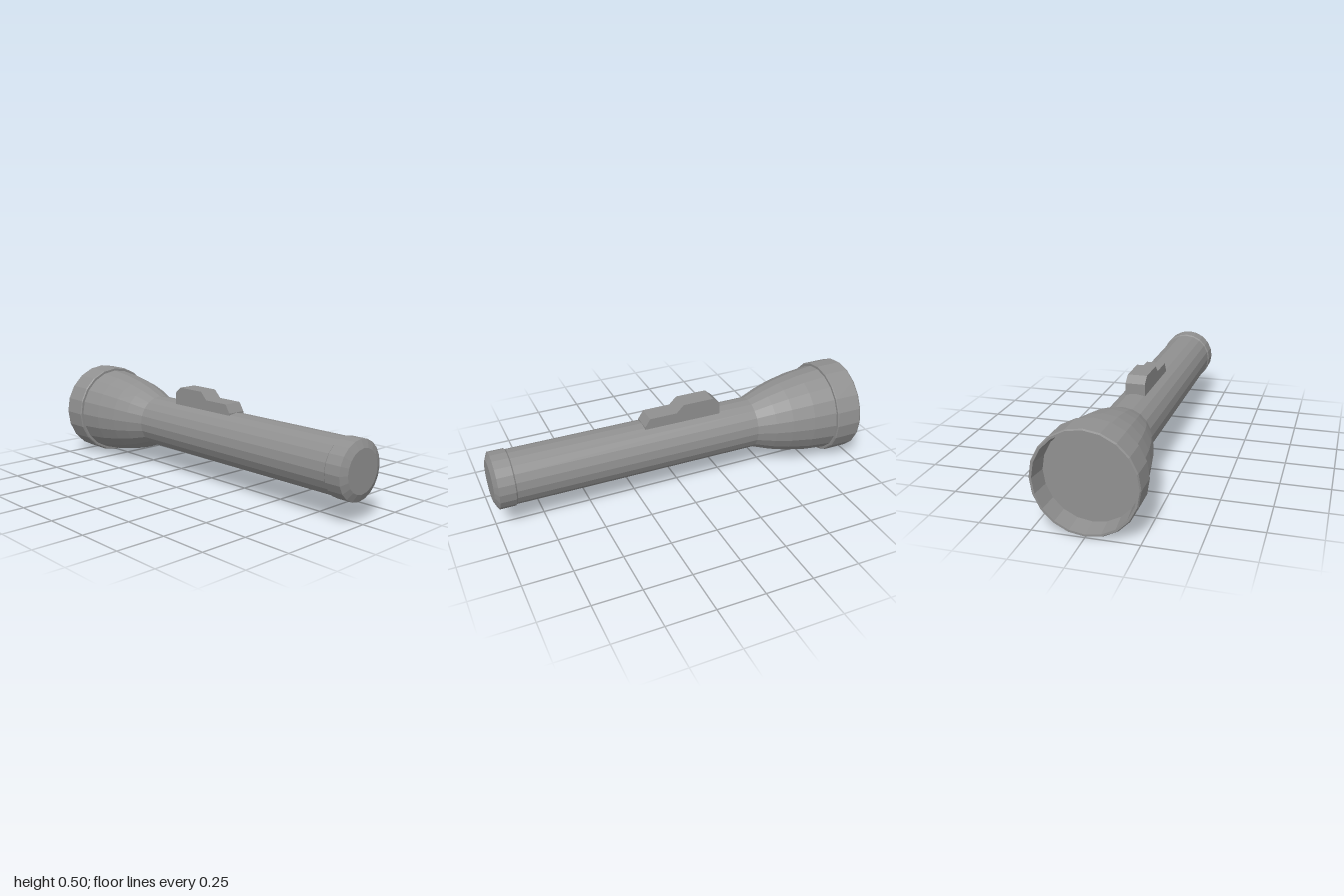
import * as THREE from 'three';

const SIDES = 20;
const AXIS_Y = 0.254;

export function createModel() {
  const model = new THREE.Group();
  model.name = 'flashlight';
  const material = new THREE.MeshStandardMaterial({ color: 0x909090, flatShading: true });

  // Turned part along the barrel axis; profile is [radius, z], running from tail to head
  function turned(name, profile) {
    const points = profile.map(([r, z]) => new THREE.Vector2(r, -z));
    const geometry = new THREE.LatheGeometry(points, SIDES);
    geometry.rotateX(-Math.PI / 2);
    const mesh = new THREE.Mesh(geometry, material);
    mesh.name = name;
    mesh.position.y = AXIS_Y;
    model.add(mesh);
  }

  // Tail cap with chamfered end and a small step down to the barrel
  turned('tailCap', [[0, 1], [0.107, 1], [0.146, 0.982], [0.146, 0.9], [0.139, 0.892]]);

  turned('barrel', [[0.14, 0.9], [0.139, -0.43]]);

  // Flared reflector housing
  turned('headFlare', [[0.139, -0.425], [0.174, -0.52], [0.199, -0.61], [0.222, -0.73], [0.235, -0.86]]);

  // Bezel ring with its recessed inner wall
  turned('bezel', [
    [0.23, -0.857], [0.247, -0.857], [0.252, -0.862], [0.252, -0.992],
    [0.247, -1], [0.237, -1], [0.226, -0.9],
  ]);

  turned('lens', [[0.227, -0.9], [0, -0.9]]);

  // Stepped switch: side outline in (-z, y), extruded across x
  const outline = [
    [-0.193, 0.36], [-0.193, 0.395], [-0.165, 0.439], [-0.018, 0.439], [0.022, 0.479],
    [0.188, 0.479], [0.228, 0.445], [0.228, 0.36],
  ];
  const width = 0.1;
  const shape = new THREE.Shape(outline.map(([u, y]) => new THREE.Vector2(u, y)));
  const switchGeometry = new THREE.ExtrudeGeometry(shape, { depth: width, bevelEnabled: false });
  switchGeometry.translate(0, 0, -width / 2);
  switchGeometry.rotateY(Math.PI / 2);
  const slider = new THREE.Mesh(switchGeometry, material);
  slider.name = 'switch';
  slider.position.x = 0.002;
  model.add(slider);

  // The barrel lies very slightly askew
  model.rotation.y = -0.008;
  model.position.x = -0.008;
  const root = new THREE.Group();
  root.add(model);
  return root;
}
